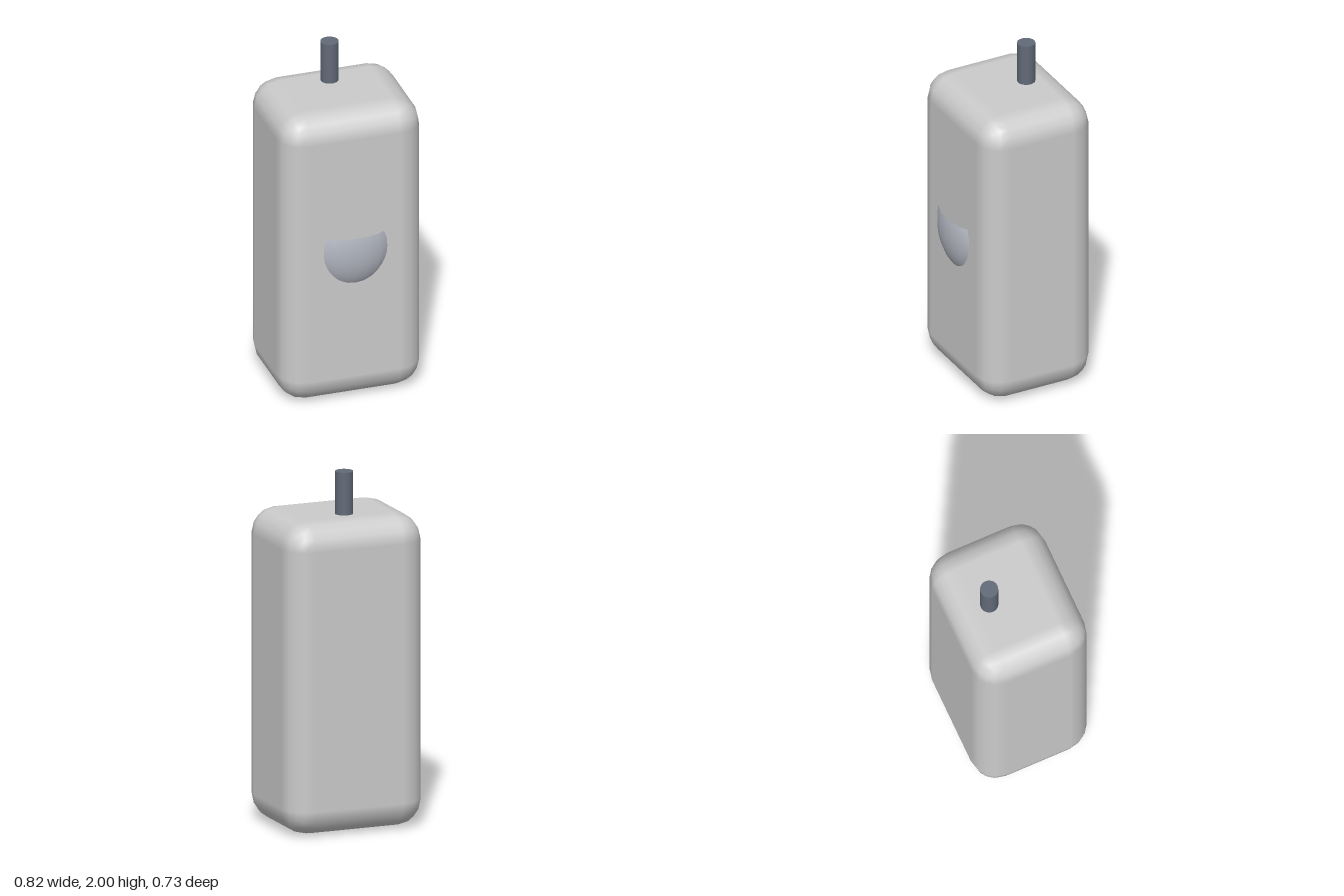
import * as THREE from 'three';
import { RoundedBoxGeometry } from 'three/addons/geometries/RoundedBoxGeometry.js';

export function createModel() {
  const group = new THREE.Group();

  const add = (name, geometry, material, x, y, z) => {
    const mesh = new THREE.Mesh(geometry, new THREE.MeshStandardMaterial(material));
    mesh.name = name;
    mesh.position.set(x, y, z);
    group.add(mesh);
    return mesh;
  };

  // Upright rounded housing
  add('body', new RoundedBoxGeometry(0.82, 1.76, 0.68, 2, 0.15), { color: 0xcccccc }, 0, 0.88, -0.027);

  // Shallow open scoop, an ellipsoid cut off near the top and sunk into the front
  const cut = Math.acos(0.36);
  const scoop = new THREE.SphereGeometry(1, 20, 14, 0, Math.PI * 2, cut, Math.PI - cut);
  scoop.scale(0.225, 0.25, 0.12);
  add('frontScoop', scoop, { color: 0xb4b8c2, side: THREE.DoubleSide }, 0, 0.932, 0.244);

  // Short stub standing on the top, toward the back
  add('topStub', new THREE.CylinderGeometry(0.05, 0.05, 0.3, 24), { color: 0x626a78 }, 0, 1.85, -0.14);

  return group;
}
